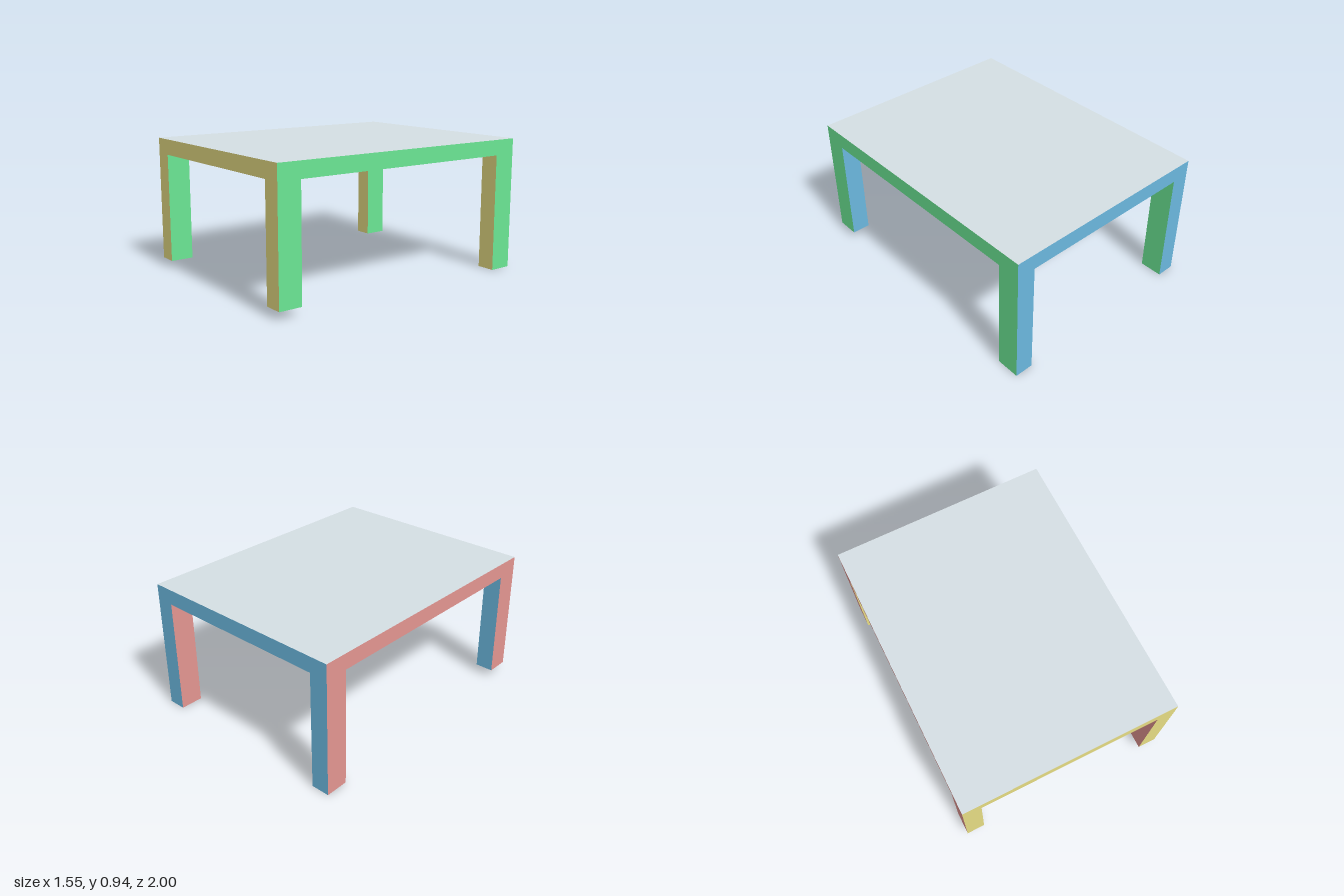
import * as THREE from 'three';

const WIDTH = 1.555, DEPTH = 2;
const TOP = 0.945, UNDERSIDE = 0.835;
const LEG_X = 0.132, LEG_Z = 0.165;

function paint(name, color) {
  const material = new THREE.MeshStandardMaterial({ color });
  material.name = name;
  return material;
}

// Box between two heights, with one material per side
function block(name, w, d, bottom, top, x, z, materials) {
  const mesh = new THREE.Mesh(new THREE.BoxGeometry(w, top - bottom, d), materials);
  mesh.name = name;
  mesh.position.set(x, (bottom + top) / 2, z);
  return mesh;
}

export function createModel() {
  const table = new THREE.Group();
  table.name = 'table';

  // Each direction has its own colour: +x, -x, +y, -y, +z, -z
  const sides = [
    paint('green', 0x6be694),
    paint('coral', 0xe59692),
    paint('paleGrey', 0xd5dfe4),
    paint('slate', 0x5a6778),
    paint('khaki', 0xe6dc84),
    paint('blue', 0x6bb8df),
  ];

  table.add(block('tableTop', WIDTH, DEPTH, UNDERSIDE, TOP, 0, 0, sides));

  // Corner legs, flush with the top; the front pair is a little shorter
  for (const [end, z, foot] of [['front', 1, 0.058], ['back', -1, 0]]) {
    for (const [side, x] of [['Left', 1], ['Right', -1]]) {
      table.add(block(`${end}${side}Leg`, LEG_X, LEG_Z, foot, UNDERSIDE,
        x * (WIDTH - LEG_X) / 2, z * (DEPTH - LEG_Z) / 2, sides));
    }
  }
  return table;
}
